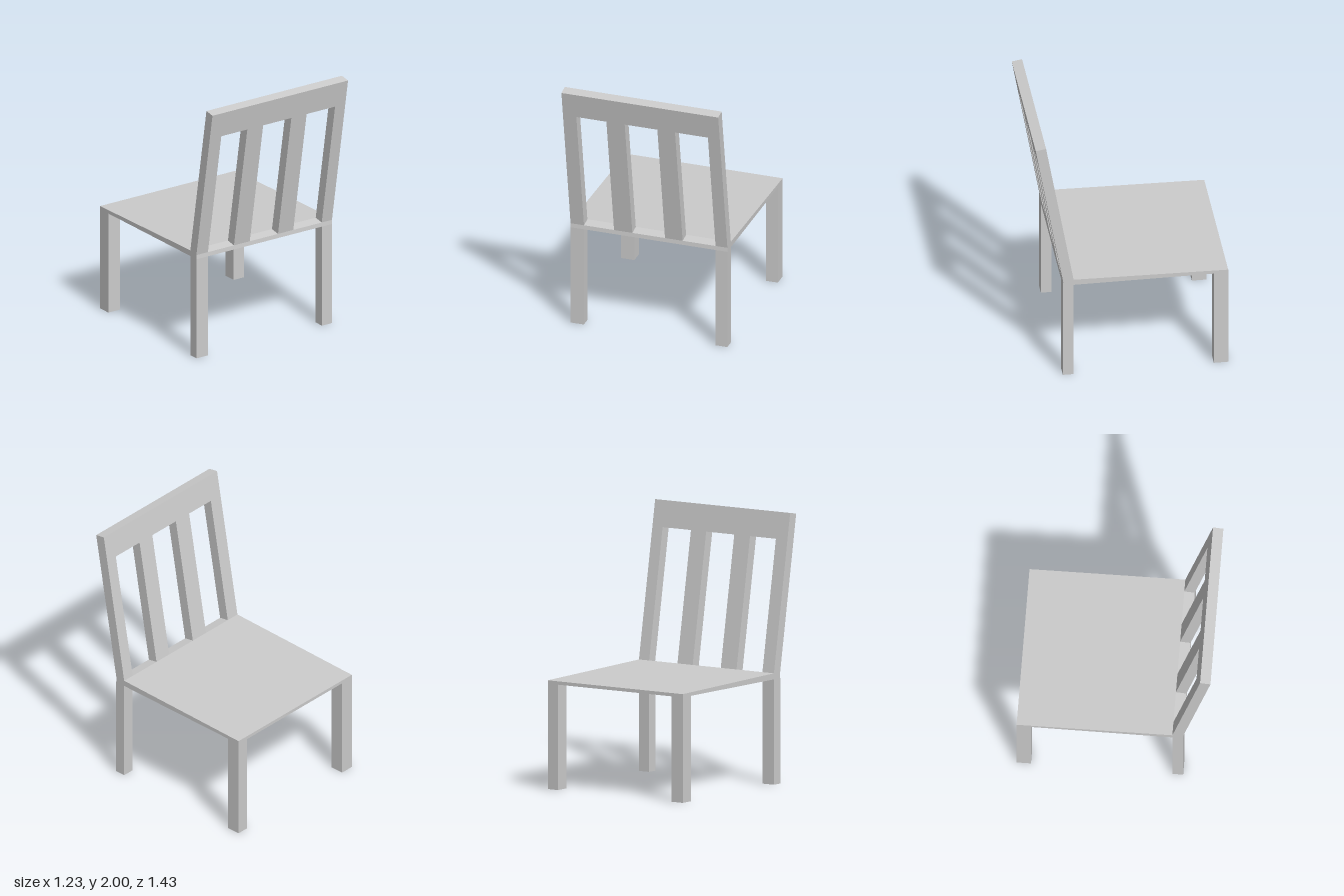
import * as THREE from 'three';

const HALF_W = 0.6125, HALF_D = 0.717;
const SEAT_UNDER = 0.785;
const BACK_Z = 0.435, BACK_Y = 0.83;   // where the backrest meets the seat top
const THICK = 0.078;

const material = new THREE.MeshStandardMaterial({ color: 0xcccccc, flatShading: true });

function addMesh(group, name, geometry) {
  const mesh = new THREE.Mesh(geometry, material);
  mesh.name = name;
  group.add(mesh);
  return mesh;
}

function polygon(points) {
  return new THREE.Shape(points.map(([x, y]) => new THREE.Vector2(x, y)));
}

export function createModel() {
  const chair = new THREE.Group();
  chair.name = 'chair';
  const tilt = Math.atan2(0.205, 1.17);

  // Thin seat, rising slightly to the backrest: (z, y) profile swept across x
  const seat = new THREE.ExtrudeGeometry(polygon([
    [-HALF_D, SEAT_UNDER], [0.515, SEAT_UNDER],
    [BACK_Z + THICK * Math.cos(tilt), BACK_Y - THICK * Math.sin(tilt)],
    [BACK_Z, BACK_Y], [-HALF_D, 0.81],
  ]), { depth: HALF_W * 2, bevelEnabled: false });
  seat.rotateY(-Math.PI / 2).translate(HALF_W, 0, 0);
  addMesh(chair, 'seat', seat);

  // Four square-cut legs, the pair under the backrest thinner in depth
  const sides = [['right', -HALF_W, -0.508], ['left', 0.52, HALF_W]];
  const rows = [['backrestLeg', BACK_Z, 0.515], ['seatEdgeLeg', -HALF_D, -0.61]];
  for (const [side, x0, x1] of sides) {
    for (const [row, z0, z1] of rows) {
      const leg = new THREE.BoxGeometry(x1 - x0, SEAT_UNDER, z1 - z0);
      leg.translate((x0 + x1) / 2, SEAT_UNDER / 2, (z0 + z1) / 2);
      addMesh(chair, `${side}_${row}`, leg);
    }
  }

  // Reclined backrest: comb outline of four uprights under one top rail
  const height = 1.188, railUnder = 0.988;
  const outline = [[-HALF_W, 0]];
  for (const [x0, x1] of [[-0.508, -0.273], [-0.13, 0.125], [0.263, 0.52]]) {
    outline.push([x0, 0], [x0, railUnder], [x1, railUnder], [x1, 0]);
  }
  outline.push([HALF_W, 0], [HALF_W, height], [-HALF_W, height]);
  const backrest = addMesh(chair, 'backrest', new THREE.ExtrudeGeometry(
    polygon(outline), { depth: THICK, bevelEnabled: false }));
  backrest.rotation.x = tilt;
  backrest.position.set(0, BACK_Y, BACK_Z);

  return chair;
}
